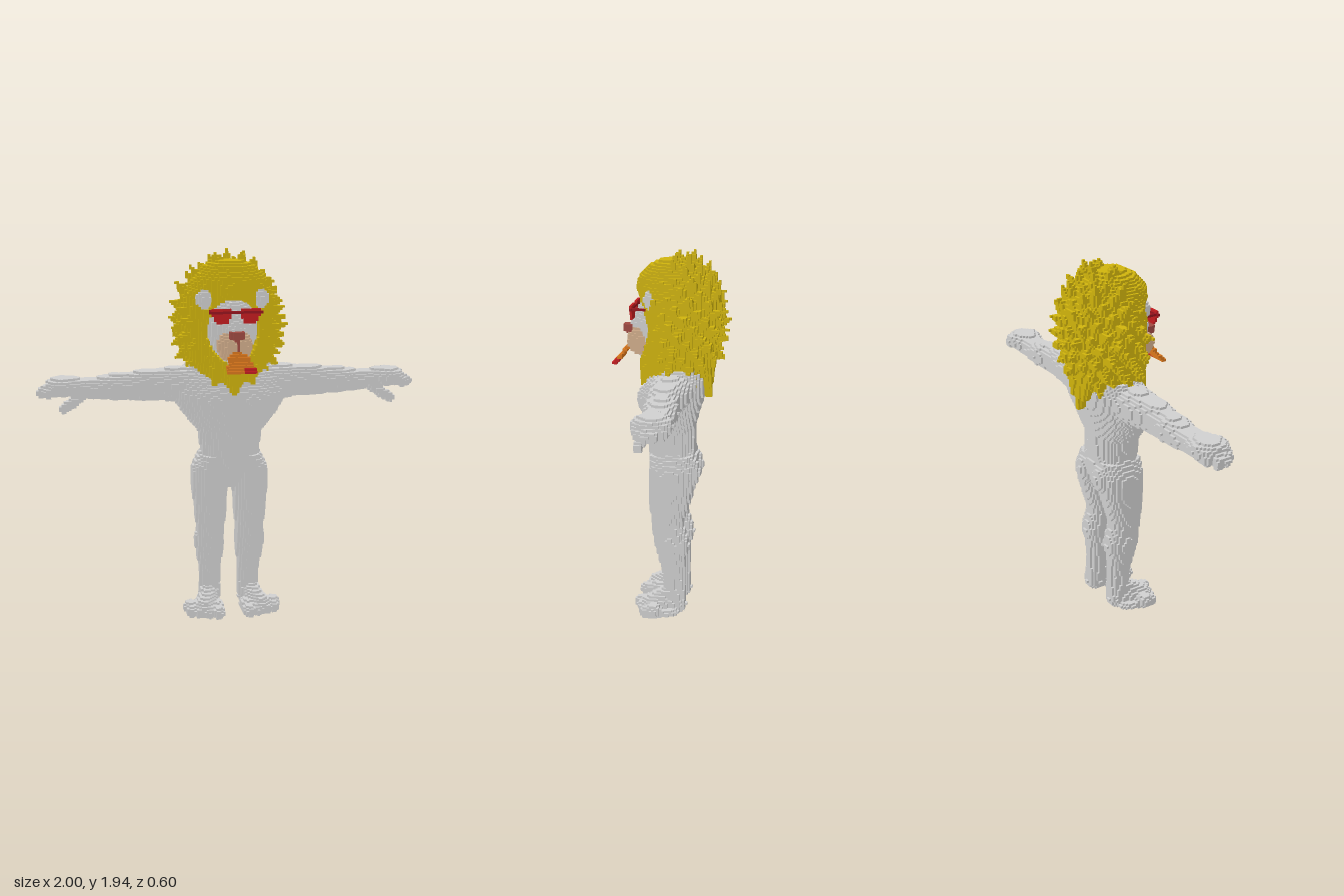
import * as THREE from 'three';

const H = 0.0125; // voxel edge

export function createModel() {
  const cells = new Map();
  const key = (i, j, k) => ((i + 256) * 512 + j) * 512 + k + 256;

  // Fill every voxel in a box whose centre satisfies a rule; a null part carves
  function fill(part, lo, hi, inside) {
    const a = lo.map(v => Math.floor(v / H)), b = hi.map(v => Math.ceil(v / H));
    for (let i = a[0]; i <= b[0]; i++)
      for (let j = Math.max(0, a[1]); j <= b[1]; j++)
        for (let k = a[2]; k <= b[2]; k++) {
          if (!inside((i + 0.5) * H, (j + 0.5) * H, (k + 0.5) * H)) continue;
          if (part) cells.set(key(i, j, k), [i, j, k, part]);
          else cells.delete(key(i, j, k));
        }
  }
  const box = (part, lo, hi) => fill(part, lo, hi, (x, y, z) =>
    x > lo[0] && x < hi[0] && y > lo[1] && y < hi[1] && z > lo[2] && z < hi[2]);
  const ellipsoid = (part, c, r) => fill(part, c.map((v, n) => v - r[n]), c.map((v, n) => v + r[n]),
    (x, y, z) => ((x - c[0]) / r[0]) ** 2 + ((y - c[1]) / r[1]) ** 2 + ((z - c[2]) / r[2]) ** 2 < 1);
  function taper(part, a, b, ra, rb) {
    const m = Math.max(ra, rb), d = b.map((v, n) => v - a[n]);
    const len2 = d[0] ** 2 + d[1] ** 2 + d[2] ** 2;
    fill(part, a.map((v, n) => Math.min(v, b[n]) - m), a.map((v, n) => Math.max(v, b[n]) + m), (x, y, z) => {
      const p = [x - a[0], y - a[1], z - a[2]];
      const t = Math.min(1, Math.max(0, (p[0] * d[0] + p[1] * d[1] + p[2] * d[2]) / len2));
      return Math.hypot(p[0] - t * d[0], p[1] - t * d[1], p[2] - t * d[2]) < ra + (rb - ra) * t;
    });
  }
  // Sections [t, centreU, centreV, radiusU, radiusV]; along y: u=x, v=z; along x: u=y, v=z
  function loft(part, along, s, rows, power = 2.3) {
    const first = rows[0][0], last = rows[rows.length - 1][0];
    const lo = along === 'y' ? [-0.45, first, -0.4] : [s > 0 ? first : -last, 1, -0.4];
    const hi = along === 'y' ? [0.45, last, 0.4] : [s > 0 ? last : -first, 1.5, 0.4];
    fill(part, lo, hi, (x, y, z) => {
      const t = along === 'y' ? y : x * s, u = along === 'y' ? x * s : y;
      if (t < first || t > last) return false;
      const n = Math.max(1, rows.findIndex(r => r[0] >= t));
      const f = (t - rows[n - 1][0]) / (rows[n][0] - rows[n - 1][0]);
      const [, cu, cv, ru, rv] = rows[n].map((v, q) => rows[n - 1][q] + (v - rows[n - 1][q]) * f);
      return Math.abs((u - cu) / ru) ** power + Math.abs((z - cv) / rv) ** power < 1;
    });
  }

  // Torso
  loft('torso', 'y', 1, [[0.7, 0, -0.02, 0.11, 0.08], [0.8, 0, -0.02, 0.175, 0.125], [0.9, 0, -0.005, 0.153, 0.12],
    [1, 0, 0, 0.165, 0.12], [1.1, 0, 0, 0.245, 0.145], [1.2, 0, -0.01, 0.31, 0.165],
    [1.28, 0, -0.03, 0.3, 0.15], [1.35, 0, -0.06, 0.22, 0.11]], 2.2);

  for (const s of [1, -1]) {
    const side = s > 0 ? 'left' : 'right';
    const leg = side + 'Leg', arm = side + 'Arm', foot = side + 'Foot', hand = side + 'Hand';
    ellipsoid('torso', [s * 0.1, 1.18, 0.06], [0.12, 0.1, 0.1]);
    ellipsoid('torso', [s * 0.08, 0.78, -0.07], [0.085, 0.1, 0.088]);

    // Leg with thigh, knee and calf swelling
    loft(leg, 'y', s, [[0.06, 0.11, -0.03, 0.06, 0.06], [0.14, 0.105, -0.03, 0.052, 0.055],
      [0.2, 0.105, -0.028, 0.052, 0.055], [0.3, 0.108, -0.018, 0.066, 0.068],
      [0.38, 0.11, -0.018, 0.075, 0.09], [0.44, 0.108, -0.005, 0.073, 0.088],
      [0.5, 0.106, 0.008, 0.075, 0.078], [0.6, 0.107, 0, 0.084, 0.1],
      [0.7, 0.108, -0.012, 0.092, 0.115], [0.8, 0.105, -0.015, 0.093, 0.12], [0.87, 0.09, -0.01, 0.075, 0.11]]);

    // Foot and toes
    taper(foot, [s * 0.11, 0.045, -0.04], [s * 0.155, 0.04, 0.09], 0.055, 0.055);
    taper(foot, [s * 0.11, 0.1, -0.01], [s * 0.15, 0.045, 0.1], 0.05, 0.05);
    for (let n = 0; n < 4; n++)
      taper(foot, [s * (0.085 + n * 0.045), 0.04, 0.07], [s * (0.085 + n * 0.046), 0.03, 0.155 - n * 0.016], 0.04, 0.031);
    ellipsoid(foot, [s * 0.14, 0.02, 0.04], [0.09, 0.03, 0.11]);

    // Shoulder, arm and forearm
    ellipsoid(arm, [s * 0.29, 1.25, -0.03], [0.12, 0.09, 0.1]);
    loft(arm, 'x', s, [[0.2, 1.25, -0.03, 0.085, 0.11], [0.36, 1.25, -0.03, 0.08, 0.09], [0.46, 1.25, -0.025, 0.08, 0.075],
      [0.53, 1.245, -0.03, 0.064, 0.075], [0.6, 1.245, -0.035, 0.066, 0.085], [0.7, 1.24, -0.038, 0.052, 0.07],
      [0.77, 1.245, -0.035, 0.048, 0.07], [0.82, 1.25, -0.035, 0.05, 0.085]]);

    // Hand, fingers and thumb
    ellipsoid(hand, [s * 0.86, 1.255, -0.035], [0.1, 0.05, 0.095]);
    for (let n = 0; n < 4; n++) {
      const z = -0.098 + n * 0.042, tip = [0.925, 0.965, 0.972, 0.94][n];
      taper(hand, [s * 0.87, 1.26, z], [s * tip, 1.228, z * 0.8 - 0.007], 0.034, 0.026);
    }
    taper(hand, [s * 0.77, 1.225, 0], [s * 0.82, 1.175, 0.025], 0.035, 0.028);
    taper(hand, [s * 0.82, 1.175, 0.025], [s * 0.865, 1.15, 0.03], 0.028, 0.024);
  }

  // Mane volume, beard, nape and forelock
  loft('mane', 'y', 1, [[1.28, 0, -0.03, 0.16, 0.17], [1.4, 0, -0.04, 0.23, 0.195], [1.55, 0, -0.06, 0.262, 0.19],
    [1.7, 0, -0.045, 0.235, 0.205], [1.8, 0, -0.015, 0.185, 0.18], [1.86, 0, -0.01, 0.13, 0.12], [1.89, 0, -0.01, 0.06, 0.06]], 2);
  taper('mane', [0, 1.37, 0.07], [0, 1.24, 0.14], 0.11, 0.025);
  for (const s of [-1, 0, 1]) {
    taper('mane', [s * 0.07, 1.42, -0.14], [s * 0.05, 1.25 - (s ? 0 : 0.06), -0.19], 0.085, 0.02);
    taper('mane', [s * 0.07, 1.4, 0.07], [s * 0.1, 1.27, 0.13], 0.07, 0.015);
  }
  ellipsoid('mane', [0, 1.75, 0.09], [0.12, 0.085, 0.085]);

  // Pointed tufts spread evenly over the mane
  for (let n = 0; n < 170; n++) {
    const v = 1 - 2 * (n + 0.5) / 170, r = Math.sqrt(1 - v * v), a = n * 2.39996;
    const d = [r * Math.cos(a), v, r * Math.sin(a)];
    if (d[2] > 0.6 || v < -0.8) continue;
    const at = f => [d[0] * 0.265 * f, 1.55 + v * 0.32 * f, -0.06 + d[2] * 0.2 * f];
    const tip = at(1.1 + 0.05 * (n % 3));
    tip[1] += d[2] < 0 ? 0.012 : 0;
    taper('mane', at(0.85), tip, 0.045, 0.006);
  }
  for (const s of [-1, 1]) taper('mane', [s * 0.06, 1.83, -0.02], [s * 0.07, 1.915, -0.03], 0.05, 0.01);

  // Face set into a hollow in the mane
  fill(null, [-0.14, 1.37, 0.07], [0.14, 1.69, 0.3], (x, y) => (x / 0.135) ** 2 + ((y - 1.54) / 0.165) ** 2 < 1);
  ellipsoid('face', [0, 1.55, 0.06], [0.13, 0.16, 0.11]);
  taper('face', [0, 1.65, 0.12], [0, 1.54, 0.165], 0.045, 0.05);
  taper('face', [0, 1.43, 0.1], [0, 1.4, 0.12], 0.07, 0.05);
  for (const s of [-1, 1]) {
    fill(null, [s * 0.15 - 0.05, 1.64, 0.09], [s * 0.15 + 0.05, 1.76, 0.25],
      (x, y, z) => z > 0.09 && ((x - s * 0.15) / 0.042) ** 2 + ((y - 1.7) / 0.055) ** 2 < 1);
    ellipsoid('ears', [s * 0.148, 1.7, 0.085], [0.038, 0.052, 0.035]);
    ellipsoid('muzzle', [s * 0.03, 1.47, 0.145], [0.055, 0.075, 0.085]);
  }
  ellipsoid('nose', [0, 1.53, 0.22], [0.042, 0.026, 0.034]);
  fill('nose', [0, 1.43, 0.2], [0, 1.52, 0.24], (x, y, z) =>
    Math.abs(x) < H && y > 1.43 && y < 1.52 && z < 0.225 && z > 0.2);

  // Glasses
  for (const s of [-1, 1]) {
    fill('lenses', [-0.15, 1.58, 0.187], [0.15, 1.67, 0.2], (x, y, z) => {
      const u = x * s, drop = 1.66 - y;
      return z > 0.187 && z < 0.2 && drop > 0 && drop < 0.07 && u > 0.02 + drop * 0.25 && u < 0.132 - drop * 0.4;
    });
    box('frame', [s > 0 ? 0.112 : -0.125, 1.637, 0.06], [s > 0 ? 0.125 : -0.112, 1.65, 0.2]);
  }
  box('frame', [-0.138, 1.637, 0.1875], [0.138, 1.65, 0.2]);

  // Slanted flared mouthpiece held in the mouth
  const flare = (part, from) => fill(part, [-0.1, 1.35, 0.2], [0.12, 1.45, 0.3], (x, y, z) => {
    const t = (1.445 - y) / 0.09, c = 0.015 * t;
    return t > 0 && t < 1 && Math.abs(z - 0.215 - 0.07 * t) < 0.011 &&
      Math.abs(x - c) < 0.025 + 0.05 * Math.sqrt(t) && x > from;
  });
  flare('mouthpiece', -1);
  fill('mouthpieceTrim', [0, 1.35, 0.25], [0.1, 1.385, 0.3], (x, y, z) =>
    x > 0.025 && y < 1.375 && cells.get(key(Math.floor(x / H), Math.floor(y / H), Math.floor(z / H)))?.[3] === 'mouthpiece');

  // Flat colours
  const material = (name, color) => Object.assign(new THREE.MeshStandardMaterial({ color }), { name });
  const skin = material('light grey', 0xd0d0d0), red = material('red', 0xc41c20);
  const colours = {
    mane: material('golden yellow', 0xd0b40c), muzzle: material('tan', 0xd2ae8c), nose: material('reddish brown', 0xa04a42),
    lenses: red, mouthpieceTrim: red, frame: material('dark red', 0x96141e), mouthpiece: material('orange', 0xdc781c)
  };

  // Turn exposed voxel faces into one mesh per part
  const parts = {};
  for (const [i, j, k, part] of cells.values()) {
    const p = parts[part] ??= { position: [], normal: [], index: [] };
    for (let axis = 0; axis < 3; axis++) for (const s of [1, -1]) {
      const n = [0, 0, 0];
      n[axis] = s;
      if (cells.has(key(i + n[0], j + n[1], k + n[2])) && j + n[1] >= 0) continue;
      const start = p.position.length / 3, u = (axis + 1) % 3, v = (axis + 2) % 3;
      for (const [a, b] of [[0, 0], [1, 0], [1, 1], [0, 1]]) {
        const c = [i, j, k];
        c[axis] += s > 0 ? 1 : 0;
        c[u] += a;
        c[v] += b;
        p.position.push(c[0] * H, c[1] * H, c[2] * H);
        p.normal.push(...n);
      }
      p.index.push(...(s > 0 ? [0, 1, 2, 0, 2, 3] : [0, 2, 1, 0, 3, 2]).map(q => q + start));
    }
  }
  const group = new THREE.Group();
  group.name = 'voxelLion';
  for (const [name, p] of Object.entries(parts)) {
    const geometry = new THREE.BufferGeometry();
    geometry.setAttribute('position', new THREE.Float32BufferAttribute(p.position, 3));
    geometry.setAttribute('normal', new THREE.Float32BufferAttribute(p.normal, 3));
    geometry.setIndex(p.index);
    const mesh = new THREE.Mesh(geometry, colours[name] ?? skin);
    mesh.name = name;
    group.add(mesh);
  }
  return group;
}
